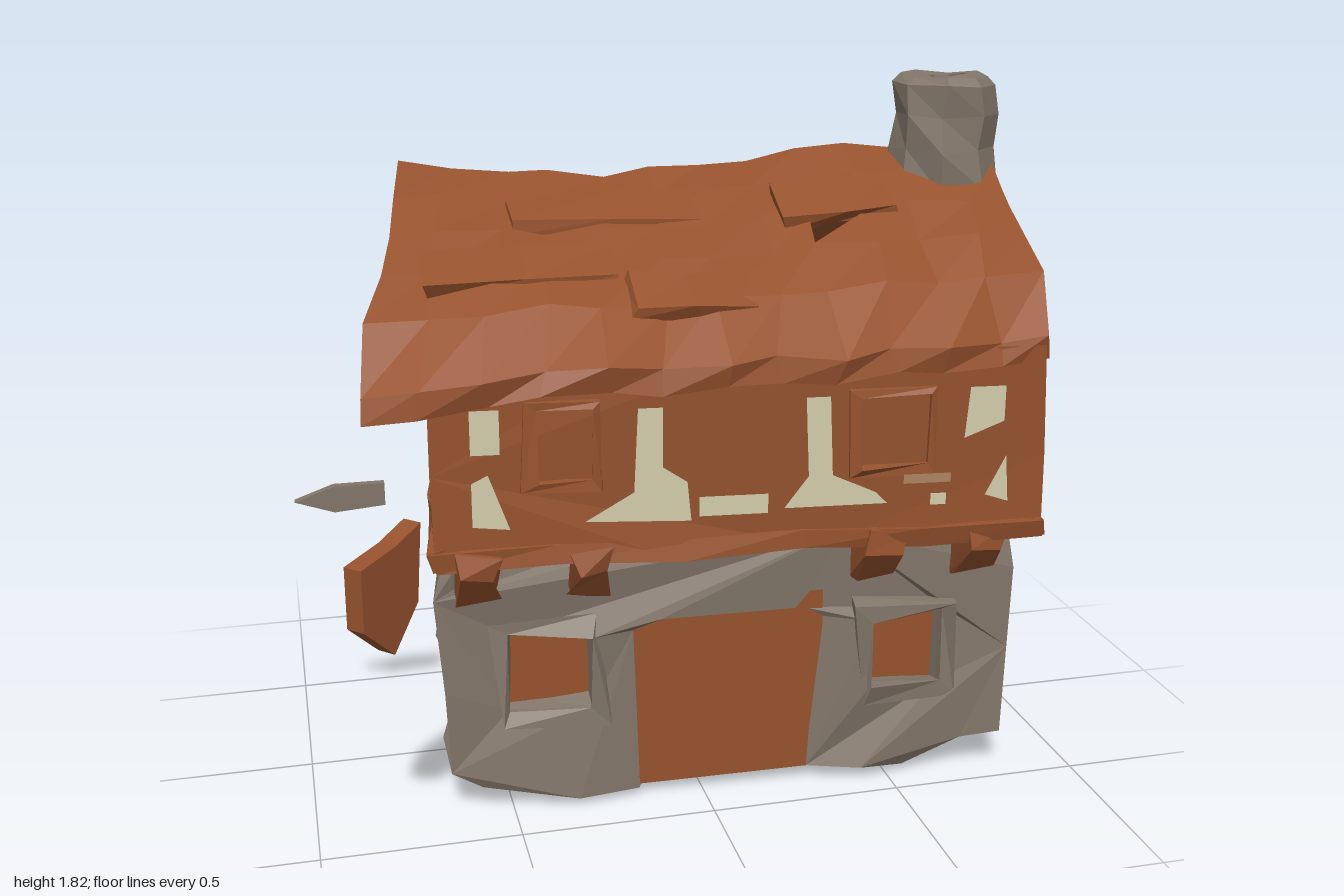
import * as THREE from 'three';

const mat = (name, color) => {
  const m = new THREE.MeshStandardMaterial({ color, flatShading: true });
  m.name = name;
  return m;
};

// smooth position-based wobble, so shared corners stay joined
function wobble(geo, amt) {
  const p = geo.attributes.position;
  for (let i = 0; i < p.count; i++) {
    const x = p.getX(i), y = p.getY(i), z = p.getZ(i);
    p.setXYZ(i,
      x + amt * Math.sin(19 * x + 31 * y + 13 * z),
      y + amt * 0.7 * Math.sin(29 * x + 11 * y + 23 * z + 1),
      z + amt * Math.sin(23 * x + 27 * y + 17 * z + 2));
  }
  geo.computeVertexNormals();
  return geo;
}

// wall frame: local x runs along the wall from a to b, local z points outward
function frame(a, b) {
  const dx = b[0] - a[0], dz = b[1] - a[1];
  const m = new THREE.Matrix4().makeRotationY(Math.atan2(-dz, dx));
  m.setPosition((a[0] + b[0]) / 2, 0, (a[1] + b[1]) / 2);
  return { m, h: Math.hypot(dx, dz) / 2 };
}

function poly(pts, holes = []) {
  const v = (list) => list.map((p) => new THREE.Vector2(p[0], p[1]));
  const s = new THREE.Shape(v(pts));
  s.holes = holes.map((h) => new THREE.Path(v(h)));
  return s;
}
const rect = (x0, x1, y0, y1) => [[x0, y0], [x1, y0], [x1, y1], [x0, y1]];
const slab = (pts, holes, z0, z1) =>
  new THREE.ExtrudeGeometry(poly(pts, holes), { depth: z1 - z0, bevelEnabled: false }).translate(0, 0, z0);
const sheet = (pts, holes, z) => new THREE.ShapeGeometry(poly(pts, holes)).translate(0, 0, z);
const lerp = THREE.MathUtils.lerp;

export function createModel() {
  const house = new THREE.Group();
  house.name = 'cottage';
  const wood = mat('timber brown', 0x96522e);
  const stone = mat('stone grey', 0x82766a);
  const plaster = mat('plaster cream', 0xd2ccaa);
  const worn = mat('worn timber', 0xab8360);

  const add = (name, geo, material, m, amt = 0) => {
    if (m) geo.applyMatrix4(m);
    if (amt) wobble(geo, amt);
    const mesh = new THREE.Mesh(geo, material);
    mesh.name = name;
    house.add(mesh);
  };
  const ring = (c) => c.map((p, i) => frame(p, c[(i + 1) % 4]));
  const names = ['front', 'right', 'back', 'left'];

  // ---- stone ground floor, open underneath
  const baseCorners = [[-0.67, 0.35], [0.80, 0.45], [0.88, -0.40], [-0.55, -0.53]];
  ring(baseCorners).forEach(({ m, h }, i) => {
    const side = names[i];
    const top = [[h, 0.14], [h, 0.36], [h, 0.6], [h, 0.74], [0.3, 0.74], [0, 0.74], [-0.3, 0.74],
      [-h, 0.74], [-h, 0.6], [-h, 0.36]];
    if (i % 2 === 0) {
      const windows = [rect(-0.55, -0.38, 0.3, 0.49), rect(0.39, 0.55, 0.28, 0.49)];
      const outline = [[-h, 0.14], [-h + 0.08, 0.09], [-0.39, 0.03], [-0.23, 0.05], [-0.23, 0.5], [-0.19, 0.53],
        [0.18, 0.53], [0.22, 0.5], [0.22, 0.05], [0.35, 0.07], [0.5, 0.03], [h - 0.1, 0.1], ...top];
      add(side + 'StoneWall', slab(outline, windows, -0.09, 0), stone, m, 0.02);
      add(side + 'Door', slab(rect(-0.26, 0.25, 0.05, 0.56), [], -0.05, -0.01), wood, m, 0.01);
      windows.forEach((w) => {
        const pane = rect(w[0][0] - 0.03, w[1][0] + 0.03, w[0][1] - 0.03, w[2][1] + 0.03);
        add(side + 'WindowPane', slab(pane, [], -0.07, -0.05), wood, m);
        // rough stone surround
        const rim = rect(w[0][0] - 0.05, w[1][0] + 0.05, w[0][1] - 0.05, w[2][1] + 0.04);
        add(side + 'WindowSurround', slab(rim, [w], -0.03, 0.012), stone, m, 0.02);
      });
      // brackets carrying the overhang
      [-0.64, -0.36, 0.37, 0.64].forEach((x) => {
        const g = slab([[-0.03, 0.59], [0.02, 0.6], [0.12, 0.7], [0.12, 0.76], [-0.03, 0.76]], [], -0.045, 0.045);
        g.rotateY(-Math.PI / 2).translate(x, 0, 0);
        add(side + 'Bracket', g, wood, m, 0.015);
      });
    } else {
      add(side + 'StoneWall', slab([[-h, 0.14], [-0.15, 0.11], [0.15, 0.09], ...top], [], -0.09, 0), stone, m, 0.02);
      // flat stones barely proud of the wall
      [[-0.14, 0.28], [0.12, 0.44]].forEach(([x, y]) => {
        const s = [[x - 0.2, y - 0.05], [x + 0.17, y - 0.07], [x + 0.2, y + 0.03], [x - 0.14, y + 0.06]];
        add(side + 'FacingStone', slab(s, [], -0.03, 0.004), stone, m, 0.015);
      });
    }
  });

  // ---- timbered upper floor
  const upperCorners = [[-0.69, 0.43], [0.82, 0.57], [0.92, -0.50], [-0.56, -0.65]];
  const cornerTops = [1.26, 1.22, 1.22, 1.22];
  add('upperFloorUnderside', new THREE.ShapeGeometry(poly(upperCorners)).rotateX(Math.PI / 2).translate(0, 0.735, 0), wood);

  const frontPanels = [
    rect(-0.66, -0.59, 1.01, 1.12), [[-0.66, 0.83], [-0.57, 0.82], [-0.62, 0.96], [-0.66, 0.94]],
    [[-0.39, 0.83], [-0.13, 0.82], [-0.14, 0.92], [-0.2, 0.96], [-0.2, 1.11], [-0.26, 1.11], [-0.27, 0.9]],
    rect(-0.11, 0.06, 0.83, 0.88),
    [[0.1, 0.84], [0.36, 0.84], [0.33, 0.87], [0.22, 0.92], [0.21, 1.12], [0.15, 1.12], [0.16, 0.92]],
    [[0.55, 1.0], [0.65, 1.04], [0.65, 1.13], [0.56, 1.13]], [[0.61, 0.85], [0.67, 0.83], [0.66, 0.95]],
    rect(0.47, 0.51, 0.83, 0.86),
  ];
  const backPanels = [
    rect(-0.66, -0.57, 0.99, 1.14), [[-0.66, 0.82], [-0.57, 0.82], [-0.6, 0.94], [-0.65, 0.93]],
    [[-0.5, 1.13], [-0.46, 0.98], [-0.36, 1.08], [-0.37, 1.14]],
    [[-0.47, 0.84], [-0.16, 0.83], [-0.17, 0.92], [-0.26, 1.0], [-0.36, 0.97]],
    [[-0.07, 0.86], [0.07, 0.84], [0.07, 0.98], [-0.02, 1.02]],
    [[0.13, 0.84], [0.38, 0.82], [0.38, 0.9], [0.28, 0.99], [0.17, 0.96]],
    [[0.38, 1.12], [0.44, 0.98], [0.52, 1.08], [0.5, 1.14]],
    rect(0.57, 0.66, 1.0, 1.13), [[0.55, 0.83], [0.66, 0.82], [0.65, 0.94]],
  ];
  const gablePanels = [
    [[-0.325, 1.24], [-0.06, 1.25], [-0.055, 1.47], [-0.13, 1.42]],
    [[0.05, 1.25], [0.22, 1.24], [0.16, 1.37], [0.05, 1.44]],
    [[-0.43, 1.02], [-0.36, 0.97], [-0.26, 0.98], [-0.26, 1.15], [-0.4, 1.15], [-0.45, 1.1]],
    [[0.24, 0.98], [0.34, 1.0], [0.44, 1.1], [0.43, 1.15], [0.28, 1.15]],
    [[-0.45, 0.87], [-0.25, 0.84], [-0.38, 0.97], [-0.44, 0.98]],
    [[0.29, 0.9], [0.46, 0.85], [0.46, 0.98], [0.42, 0.99]],
    [[-0.33, 0.8], [-0.13, 0.81], [-0.12, 0.88], [-0.24, 0.89]],
    [[-0.1, 0.87], [0.14, 0.84], [0.19, 0.8], [0.32, 0.81], [0.33, 0.89], [0.1, 0.9]],
  ];
  const gap = [[-0.12, 0.8], [-0.08, 0.86], [0.02, 0.85], [0.16, 0.82], [0.05, 0.785]];

  ring(upperCorners).forEach(({ m, h }, i) => {
    const side = names[i], gable = i % 2 === 1;
    const [topA, topB] = [cornerTops[i], cornerTops[(i + 1) % 4]];
    const roofLine = gable ? [[0.55 * h, 1.42], [0, 1.54], [-0.55 * h, 1.42]] : [[0.3, 1.23], [0, 1.23], [-0.3, 1.23]];
    const outline = [[-h, 0.73], [-0.2, 0.73], [0.2, 0.73], [h, 0.73], [h, 0.95], [h, topB], ...roofLine, [-h, topA], [-h, 0.95]];
    add(side + 'TimberWall', sheet(outline, gable ? [gap] : [], 0), wood, m, 0.01);
    add(side + 'SillBeam', new THREE.BoxGeometry(2 * h, 0.05, 0.05, 5).translate(0, 0.745, -0.015), wood, m, 0.012);
    const panels = gable ? gablePanels : i === 0 ? frontPanels : backPanels;
    panels.forEach((p) => add(side + 'PlasterPanel', sheet(p, [], 0.015), plaster, m));
    if (gable) {
      const oval = new THREE.CircleGeometry(1, 8).scale(0.035, 0.065, 1).translate(0.01, 1.08, 0.015);
      add(side + 'WornPatch', oval, worn, m);
    } else {
      [[-0.3, 1.18], [0.25, 1.18], [0.46, 0.9]].forEach(([x, y]) =>
        add(side + 'WornPatch', sheet(rect(x - 0.06, x + 0.06, y - 0.012, y + 0.012), [], 0.015), worn, m));
    }
    // window frames on the front wall
    if (i === 0) [-0.44, 0.37].forEach((x) => add(side + 'UpperWindowFrame',
      slab(rect(x - 0.1, x + 0.1, 0.9, 1.14), [rect(x - 0.07, x + 0.08, 0.93, 1.12)], -0.01, 0.022), wood, m, 0.012));
  });

  // ---- sagging roof, from cross-sections swept along the ridge
  const NX = 12, NR = 10;
  const roofPoint = (i, k, drop) => {
    const s = i / NX, t = k / NR * 2, front = t < 1, q = front ? t : 2 - t;
    const bulge = 0.06 * Math.sin(Math.PI * s);
    const eave = front
      ? [lerp(-0.855, 0.83, s), lerp(1.18, 1.24, Math.min(1, s * 5)), lerp(0.55, 0.56, s) + bulge]
      : [lerp(-0.59, 1.0, s), lerp(1.24, 1.2, s), lerp(-0.67, -0.5, s) - bulge];
    const ridge = [lerp(-0.67, 0.88, s), lerp(1.62, 1.65, s) - 0.05 * Math.sin(Math.PI * Math.min(1, s * 1.4)),
      lerp(-0.15, 0.01, s * s)];
    const y = lerp(eave[1], ridge[1], Math.pow(q, 0.68)) - drop;
    return [lerp(eave[0], ridge[0], q), y, lerp(eave[2], ridge[2], q)];
  };
  const section = (i) => {
    const out = [];
    for (let k = 0; k <= NR; k++) out.push(roofPoint(i, k, 0));
    for (let k = NR; k >= 0; k--) out.push(roofPoint(i, k, 0.06));
    return out;
  };
  const tris = [], count = 2 * (NR + 1);
  const face = (a, b, c) => tris.push(...a, ...b, ...c);
  for (let i = 0; i < NX; i++) {
    const A = section(i), B = section(i + 1);
    for (let k = 0; k < count; k++) {
      const n = (k + 1) % count;
      const broken = i === 8 && (k === 2 || k === count - 4); // small hole in the front slope
      face(A[k], B[k], B[n]);
      if (!broken) face(A[k], B[n], A[n]);
    }
  }
  const first = section(0), last = section(NX);
  for (let k = 0; k < NR; k++) {
    const o = count - 1 - k;
    face(first[k], first[k + 1], first[o - 1]);
    face(first[k], first[o - 1], first[o]);
    face(last[k], last[o - 1], last[k + 1]);
    face(last[k], last[o], last[o - 1]);
  }
  const roof = new THREE.BufferGeometry();
  roof.setAttribute('position', new THREE.Float32BufferAttribute(tris, 3));
  add('roof', roof, wood, null, 0.014);

  // shingle boards half sunk in the slopes: place along ridge, place across, length
  [[2.5, 2, 0.45], [5.5, 1.2, 0.3], [8.5, 3.2, 0.3], [4, 3.6, 0.5], [2, 8, 0.2], [8, 8.6, 0.14]].forEach(([i, k, len]) => {
    const a = roofPoint(i, k + 0.3, 0), b = roofPoint(i, k - 0.3, 0);
    const g = new THREE.BoxGeometry(len, 0.04, 0.14, 2, 1, 1).rotateX(-Math.atan2(b[1] - a[1], b[2] - a[2]));
    add('roofBoard', g.translate(...roofPoint(i, k, 0.006)), wood, null, 0.014);
  });

  // ---- chimney with sunken flue
  const flue = [[0.14, 1.54], [0.14, 1.64], [0.132, 1.73], [0.136, 1.81], [0.115, 1.83], [0.05, 1.83], [0.04, 1.78], [0, 1.78]]
    .map((p) => new THREE.Vector2(p[0], p[1]));
  add('chimney', new THREE.LatheGeometry(flue, 8, Math.PI / 8).translate(0.745, 0, 0.03), stone, null, 0.008);

  // ---- hanging sign board and the stray spike on the left
  const sign = [[-0.1, 0.84], [-0.1, 0.69], [0, 0.6], [0.09, 0.7], [0.11, 0.89], [0.02, 0.86]];
  add('signBoard', slab(sign, [], -0.025, 0.025), wood, frame([-0.89, 0.68], [-0.75, 0.54]).m);
  const spike = [[-1, 0.785], [-0.9, 0.75], [-0.77, 0.76], [-0.77, 0.82], [-0.9, 0.82]];
  add('sideSpike', slab(spike, [], 0.015, 0.04), stone);

  return house;
}
